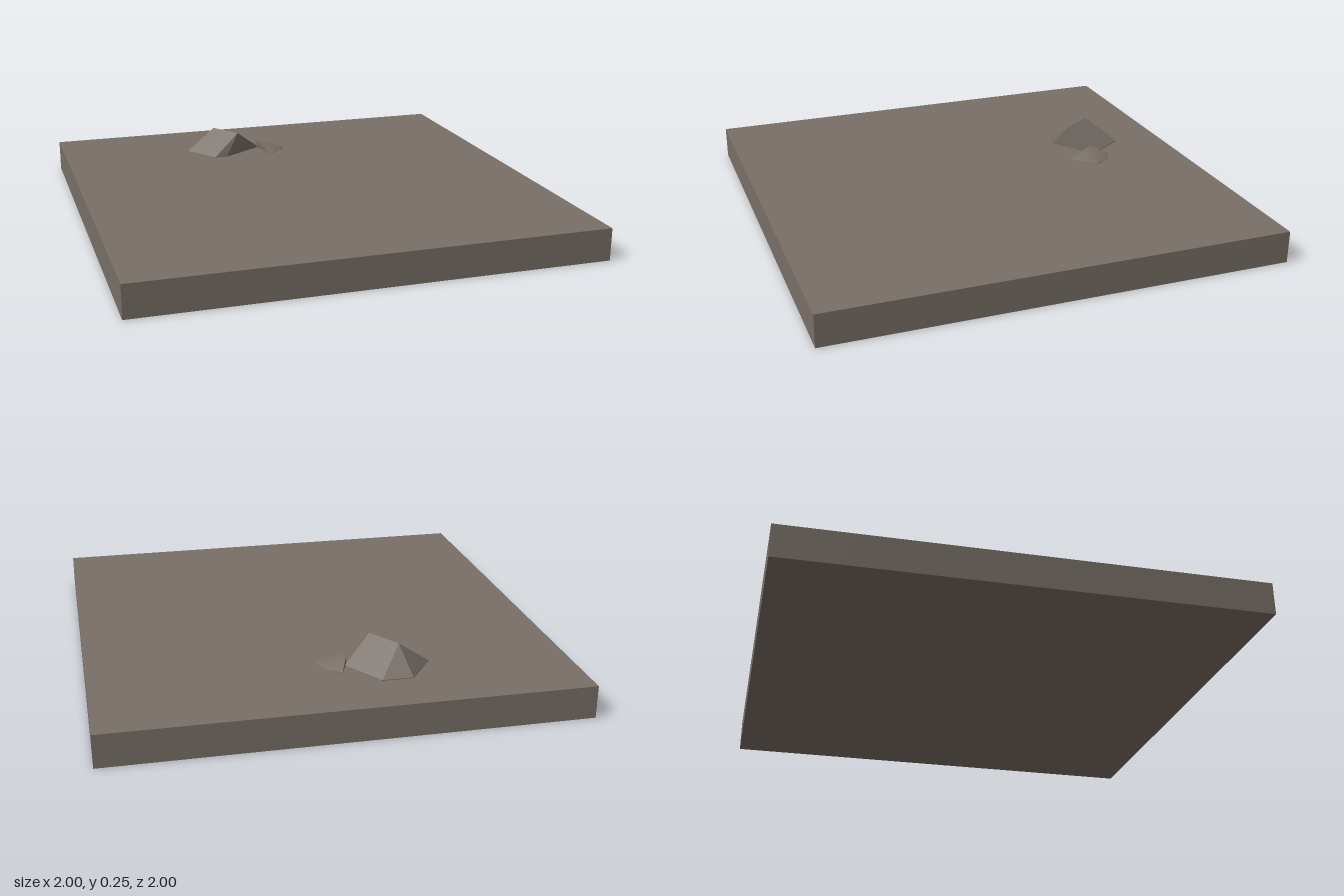
import * as THREE from 'three';
import { toCreasedNormals } from 'three/addons/utils/BufferGeometryUtils.js';
import { ConvexGeometry } from 'three/addons/geometries/ConvexGeometry.js';

const SLAB_HEIGHT = 0.14;
const BASE = 0.13; // rocks are sunk slightly into the slab

// Faceted rock: convex hull of a ground outline [x, z] and crest points [x, y, z]
function rock(name, outline, crest, material, crease) {
  const points = outline.map(([x, z]) => new THREE.Vector3(x, SLAB_HEIGHT + 0.004, z));
  points.push(...outline.map(([x, z]) => new THREE.Vector3(x, BASE, z)));
  points.push(...crest.map(p => new THREE.Vector3(...p)));
  const mesh = new THREE.Mesh(toCreasedNormals(new ConvexGeometry(points), crease), material);
  mesh.name = name;
  return mesh;
}

// Square ground slab with a very gentle swell on its upper face
function groundSlab(material) {
  const geometry = new THREE.BoxGeometry(2, SLAB_HEIGHT, 2, 24, 1, 24);
  geometry.translate(0, SLAB_HEIGHT / 2, 0);
  const pos = geometry.attributes.position;
  for (let i = 0; i < pos.count; i++) {
    if (pos.getY(i) < SLAB_HEIGHT / 2) continue;
    const x = pos.getX(i), z = pos.getZ(i);
    const edge = (1 - x * x) * (1 - z * z);
    const swell = 0.011 * Math.exp(-((x - 0.2) ** 2 + (z - 0.4) ** 2) / 0.5);
    pos.setY(i, SLAB_HEIGHT + edge * (0.002 + swell));
  }
  geometry.computeVertexNormals();
  const mesh = new THREE.Mesh(geometry, material);
  mesh.name = 'groundSlab';
  return mesh;
}

export function createModel() {
  const group = new THREE.Group();
  group.name = 'rockyGroundTile';
  const stone = new THREE.MeshStandardMaterial({ color: 0x786f67 });
  stone.name = 'warm grey stone';

  group.add(groundSlab(stone));

  // Large rock with a slanted ridge
  group.add(rock('largeRock',
    [[-0.41, -0.625], [-0.3, -0.775], [-0.17, -0.775], [-0.055, -0.605], [-0.245, -0.475], [-0.305, -0.475]],
    [[-0.27, 0.245, -0.655], [-0.18, 0.245, -0.52]],
    stone, 0.55));

  // Small rock leaning against it
  group.add(rock('smallRock',
    [[-0.03, -0.67], [-0.06, -0.6], [-0.03, -0.46], [0.03, -0.51], [0.065, -0.565], [0.03, -0.63]],
    [[-0.065, 0.183, -0.59], [-0.035, 0.177, -0.56]],
    stone, 0.8));

  return group;
}
